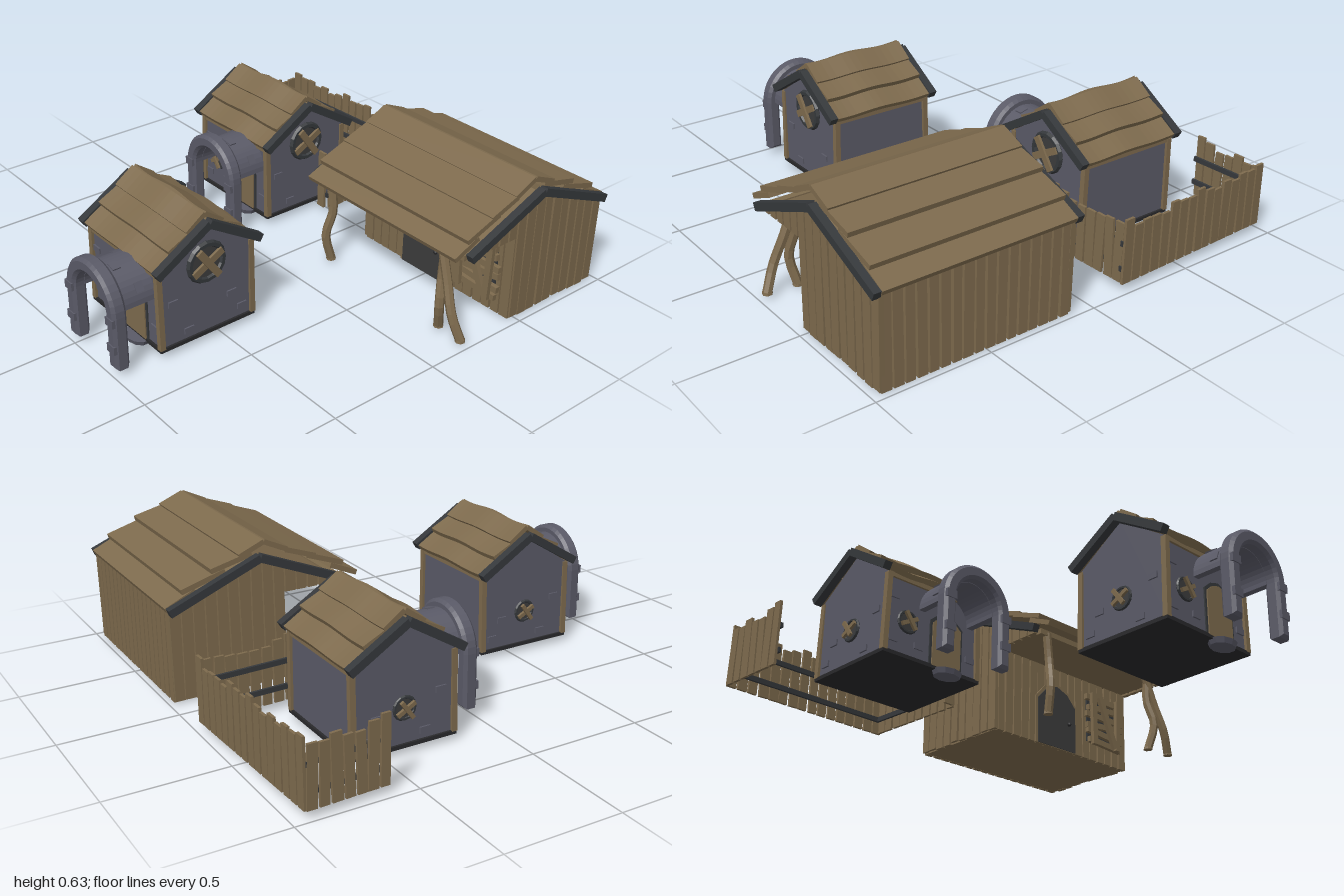
import * as THREE from 'three';

const mat = (name, color, extra = {}) => {
  const m = new THREE.MeshStandardMaterial({ color });
  m.name = name;
  return Object.assign(m, extra);
};

export function createModel() {
  const wood = mat('wood', 0x7d6a4d, { flatShading: true });
  const stone = mat('stone', 0x5a5a67, { flatShading: true });
  const trim = mat('dark trim', 0x35383b, { flatShading: true });
  const doorMat = mat('door', 0x3c3c3c);
  const base = mat('base', 0x29292b);

  let seed = 7;
  const rnd = (a, b) => {
    seed = (seed * 16807) % 2147483647;
    return a + (b - a) * (seed / 2147483647);
  };

  const add = (parent, name, geo, material, x = 0, y = 0, z = 0, rx = 0, ry = 0, rz = 0) => {
    const m = new THREE.Mesh(geo, material);
    m.name = name;
    m.position.set(x, y, z);
    m.rotation.set(rx, ry, rz);
    parent.add(m);
    return m;
  };
  const box = (parent, name, material, w, h, d, ...at) =>
    add(parent, name, new THREE.BoxGeometry(w, h, d), material, ...at);
  const extrude = (shape, depth, bevel = 0) => new THREE.ExtrudeGeometry(shape, {
    depth, curveSegments: 10, bevelEnabled: bevel > 0, bevelSize: bevel, bevelThickness: bevel, bevelSegments: 1,
  });
  const poly = pts => new THREE.Shape(pts.map(p => new THREE.Vector2(...p)));
  const group = (parent, name, x = 0, y = 0, z = 0) => {
    const g = new THREE.Group();
    g.name = name;
    g.position.set(x, y, z);
    parent.add(g);
    return g;
  };

  // Board running along x, sloping between two (z, y) points, optionally wavy
  const slopeBoard = (parent, name, material, x, w, a, b, t, wave = 0) => {
    const [p, q] = a[0] < b[0] ? [a, b] : [b, a];
    const dz = q[0] - p[0], dy = q[1] - p[1];
    const geo = new THREE.BoxGeometry(w, t, Math.hypot(dz, dy), wave ? 14 : 1, 1, 1);
    const pos = geo.attributes.position;
    for (let i = 0; i < pos.count; i++) {
      const s = pos.getX(i);
      pos.setY(i, pos.getY(i) + wave * Math.sin(s * 19 + 1.2));
    }
    geo.computeVertexNormals();
    add(parent, name, geo, material, x, (p[1] + q[1]) / 2, (p[0] + q[0]) / 2, Math.atan2(-dy, dz));
  };

  // Pentagon with a pointed top, used for doors
  const pointed = (w, h, side) =>
    poly([[-w, 0], [w, 0], [w, side], [w * 0.55, h - (h - side) * 0.3], [0, h], [-w * 0.55, h - (h - side) * 0.3], [-w, side]]);

  // Half ring with optional legs, used for the stone porch
  const arch = (outer, inner, leg) => {
    const s = new THREE.Shape();
    s.moveTo(outer, -leg);
    s.lineTo(outer, 0);
    s.absarc(0, 0, outer, 0, Math.PI, false);
    s.lineTo(-outer, -leg);
    s.lineTo(-inner, -leg);
    s.lineTo(-inner, 0);
    s.absarc(0, 0, inner, Math.PI, 0, true);
    s.lineTo(inner, -leg);
    return s;
  };

  // Round window with two crossed boards, facing +z
  const roundWindow = (parent, r, x, y, z, ry) => {
    const g = group(parent, 'roundWindow', x, y, z);
    g.rotation.y = ry;
    add(g, 'windowPane', new THREE.CircleGeometry(r, 16), doorMat, 0, 0, 0.003);
    add(g, 'windowFrame', new THREE.TorusGeometry(r * 0.88, r * 0.16, 6, 16), trim);
    box(g, 'crossBoard', wood, r * 1.75, r * 0.34, 0.012, 0, 0, 0.014, 0, 0, 0.5);
    box(g, 'crossBoard', wood, r * 1.75, r * 0.34, 0.012, 0, 0, 0.022, 0, 0, -0.95);
  };

  const model = new THREE.Group();
  model.name = 'village';

  // Stone hut with arched porch
  const makeHut = (x, z) => {
    const g = group(model, 'hut', x, 0, z);
    const body = poly([[-0.22, 0.035], [0.22, 0.035], [0.22, 0.385], [0, 0.53], [-0.22, 0.385]]);
    add(g, 'walls', extrude(body, 0.48).translate(0, 0, -0.24).rotateY(Math.PI / 2), stone);
    box(g, 'floor', base, 0.5, 0.016, 0.46, 0, 0.036, 0);
    for (const sx of [-1, 1]) for (const sz of [-1, 1]) {
      box(g, 'cornerPost', wood, 0.024, 0.34, 0.024, sx * 0.237, 0.21, sz * 0.22, 0, 0, sx * 0.02);
      slopeBoard(g, 'rakeBoard', trim, sx * 0.263, 0.036, [0, 0.542], [sz * 0.246, 0.392], 0.034);
    }
    for (const s of [-1, 1]) {
      box(g, 'eaveBeam', wood, 0.48, 0.02, 0.02, 0, 0.375, s * 0.22);
      slopeBoard(g, 'roofBoard', wood, 0, 0.49, [0, 0.575], [s * 0.085, 0.515], 0.022, 0.005);
      slopeBoard(g, 'roofBoard', wood, 0, 0.49, [s * 0.045, 0.523], [s * 0.17, 0.462], 0.022, 0.005);
      slopeBoard(g, 'roofBoard', wood, 0, 0.49, [s * 0.11, 0.473], [s * 0.24, 0.392], 0.022, 0.005);
    }
    // Porch
    const p = group(g, 'porch', 0.07, 0.265, 0);
    add(p, 'porchVault', extrude(arch(0.143, 0.113, 0), 0.18), stone, 0, 0, 0.2);
    add(p, 'porchArch', extrude(arch(0.162, 0.128, 0.222), 0.038, 0.013), stone, 0, 0, 0.378);
    for (const [a, zz] of [[0.5, 0.28], [1.3, 0.33], [2.1, 0.26], [2.75, 0.32]])
      box(p, 'vaultStone', stone, 0.012, 0.04, 0.035, Math.cos(a) * 0.141, Math.sin(a) * 0.141, zz, 0, 0, a);
    for (const [sx, yy] of [[-1, -0.14], [1, -0.02], [-1, 0.0], [1, -0.14]])
      box(p, 'archStone', stone, 0.05, 0.035, 0.014, sx * 0.146, yy, 0.427);
    // Door
    add(g, 'doorFrame', extrude(pointed(0.085, 0.245, 0.2), 0.006), trim, 0.07, 0.04, 0.22);
    add(g, 'door', extrude(pointed(0.074, 0.23, 0.19), 0.009), wood, 0.07, 0.04, 0.222);
    add(g, 'doorstep', new THREE.CylinderGeometry(0.07, 0.06, 0.022, 10).scale(1, 1, 0.75), stone, 0.08, 0.022, 0.225);
    // Windows
    roundWindow(g, 0.09, 0.243, 0.36, 0, Math.PI / 2);
    roundWindow(g, 0.05, -0.13, 0.19, 0.223, 0);
    roundWindow(g, 0.05, -0.243, 0.19, 0, -Math.PI / 2);
    // Loose stones on the walls
    for (const [zz, yy] of [[0.16, 0.23], [-0.12, 0.17], [0.09, 0.08], [-0.17, 0.09]])
      for (const s of [-1, 1]) box(g, 'wallStone', stone, 0.014, 0.026, 0.045, s * 0.24, yy, zz);
    for (const [xx, yy] of [[-0.2, 0.29], [-0.07, 0.1], [-0.2, 0.1], [0.2, 0.12]])
      box(g, 'wallStone', stone, 0.045, 0.026, 0.014, xx, yy, 0.22);
  };
  makeHut(-0.505, -0.41);
  makeHut(0.06, 0.565);

  // Plank barn
  const barn = group(model, 'barn');
  const ridgeZ = -0.585;
  const roofAt = z => 0.562 - Math.abs(z - ridgeZ) * 0.415;
  const barnBody = poly([[0.48, 0.004], [0.96, 0.004], [0.96, 0.4], [-ridgeZ, 0.555], [0.21, 0.4], [0.48, 0.4]]);
  add(barn, 'barnWalls', extrude(barnBody, 0.84).rotateY(Math.PI / 2), wood, 0.11, 0, 0);
  for (let i = 0; i < 17; i++) {
    const x = 0.132 + i * 0.0503;
    for (const z of [-0.476, -0.965])
      box(barn, 'wallPlank', wood, rnd(0.036, 0.046), 0.4, 0.022, x, 0.203, z, 0, 0, rnd(-0.015, 0.015));
  }
  for (const x of [0.108, 0.956]) for (let i = 0; i < 15; i++) {
    const z = -0.235 - i * 0.0515;
    const y0 = z > -0.47 ? 0.39 : rnd(0.002, 0.012), y1 = roofAt(z) - 0.006;
    box(barn, 'gablePlank', wood, 0.022, y1 - y0, rnd(0.038, 0.048), x, (y0 + y1) / 2, z, y1 - y0 > 0.3 ? rnd(-0.012, 0.012) : 0);
  }
  for (const x of [0.083, 0.975]) for (const z of [-0.19, -0.985])
    slopeBoard(barn, 'rakeBoard', trim, x, 0.034, [ridgeZ, 0.565], [z, 0.402], 0.034);
  const boards = [
    [[-0.555, 0.622], [-0.45, 0.572]], [[-0.46, 0.572], [-0.32, 0.522]],
    [[-0.36, 0.53], [-0.19, 0.468]], [[-0.25, 0.466], [-0.125, 0.412]],
    [[-0.555, 0.622], [-0.665, 0.576]], [[-0.61, 0.58], [-0.79, 0.536]],
    [[-0.73, 0.528], [-0.92, 0.472]], [[-0.86, 0.468], [-0.99, 0.408]],
  ];
  for (const [a, b] of boards) slopeBoard(barn, 'roofBoard', wood, 0.53, 0.86, a, b, 0.022);
  box(barn, 'porchBeam', wood, 0.84, 0.025, 0.03, 0.53, 0.395, -0.2);

  // Barn door
  add(barn, 'barnDoorFrame', extrude(pointed(0.135, 0.325, 0.23), 0.012), wood, 0.478, 0, -0.47);
  add(barn, 'barnDoor', extrude(pointed(0.122, 0.305, 0.222), 0.016), doorMat, 0.478, 0.002, -0.47);
  add(barn, 'doorKnob', new THREE.SphereGeometry(0.01, 8, 6), base, 0.555, 0.135, -0.45);

  // Boarded barn window
  box(barn, 'windowHole', trim, 0.2, 0.22, 0.009, 0.785, 0.2, -0.461);
  for (let i = 0; i < 6; i++)
    box(barn, 'windowBoard', wood, rnd(0.21, 0.25), 0.028, 0.02, 0.785 + rnd(-0.01, 0.01), 0.09 + i * 0.044, -0.447, 0, 0, rnd(-0.09, 0.09));
  for (const [x, a] of [[0.705, 0.03], [0.87, -0.04], [0.8, 0.4]])
    box(barn, 'windowBrace', wood, 0.03, 0.26, 0.02, x, 0.2, -0.43, 0, 0, a);

  // Crooked porch posts
  const post = pts => {
    const curve = new THREE.CatmullRomCurve3(pts.map(p => new THREE.Vector3(...p)));
    add(barn, 'porchPost', new THREE.TubeGeometry(curve, 10, 0.02, 7), wood);
    const foot = add(barn, 'postFoot', new THREE.CylinderGeometry(0.02, 0.022, 0.012, 7), wood, ...pts[0]);
    foot.position.y = 0.02;
  };
  post([[0.17, 0.02, -0.2], [0.16, 0.14, -0.175], [0.175, 0.26, -0.2], [0.16, 0.4, -0.2]]);
  post([[0.83, 0.02, -0.2], [0.85, 0.14, -0.175], [0.83, 0.26, -0.2], [0.84, 0.4, -0.2]]);
  post([[0.96, 0.02, -0.19], [0.92, 0.12, -0.175], [0.87, 0.25, -0.19], [0.82, 0.39, -0.2]]);

  // Picket fence around the rear hut
  const fence = (x0, z0, x1, z1) => {
    const len = Math.hypot(x1 - x0, z1 - z0);
    const g = group(model, 'fence', x0, 0, z0);
    g.rotation.y = Math.atan2(z0 - z1, x1 - x0);
    const n = Math.max(1, Math.round(len / 0.052));
    for (let i = 0; i < n; i++) {
      const h = rnd(0.24, 0.285);
      box(g, 'picket', wood, rnd(0.038, 0.046), h, 0.012, (i + 0.5) * len / n, 0.035 + h / 2, 0, 0, 0, rnd(-0.03, 0.03));
    }
    for (const y of [0.1, 0.21]) box(g, 'fenceRail', trim, len, 0.022, 0.012, len / 2, y, 0.011);
  };
  fence(-0.985, -0.947, -0.16, -0.977);
  fence(-0.968, -0.6, -0.982, -0.945);
  fence(-0.172, -0.97, -0.152, -0.455);
  fence(-0.152, -0.452, -0.225, -0.452);

  return model;
}
